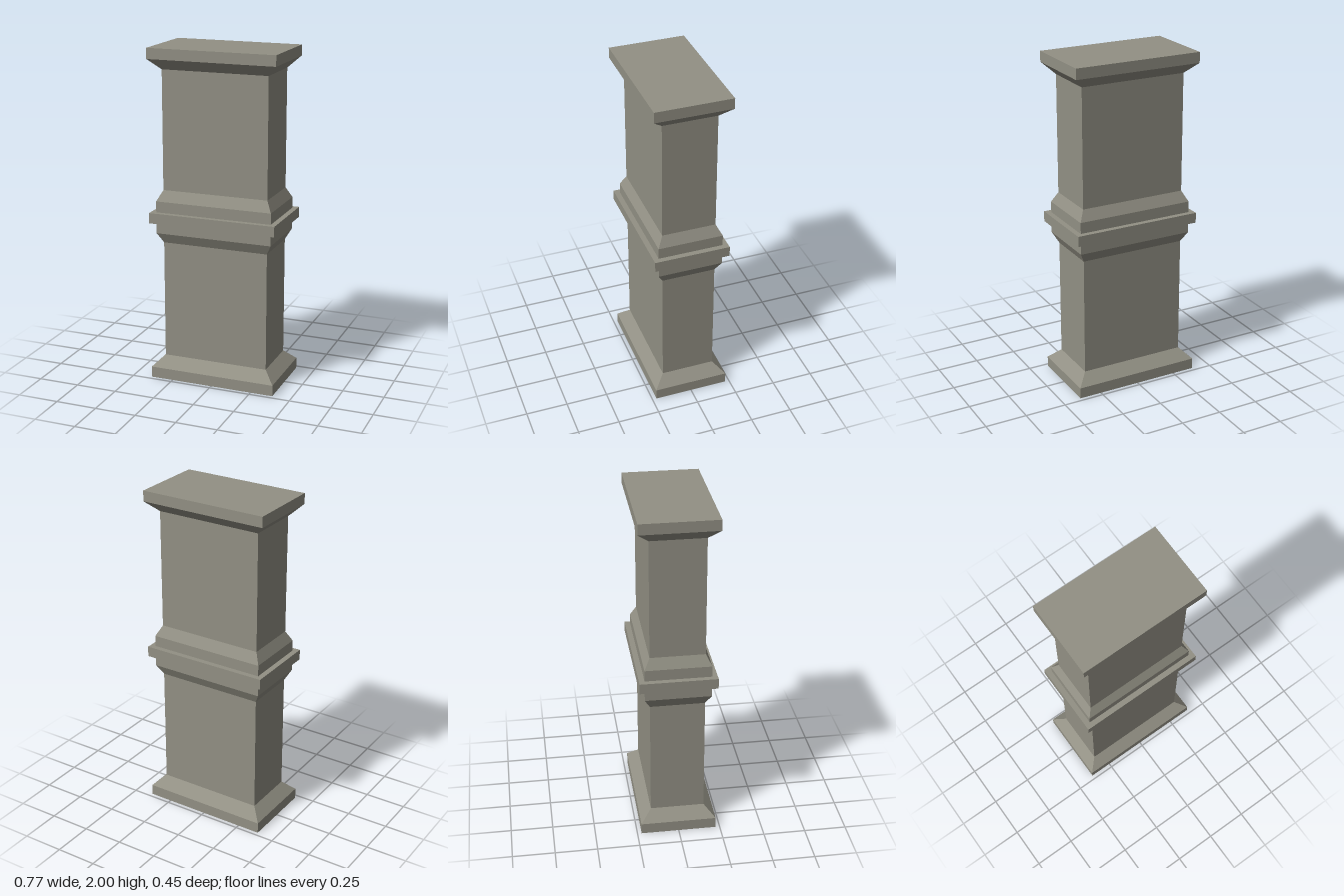
import * as THREE from 'three';

// Rectangular block whose top may be wider or narrower than its bottom.
// The outset is added on every side of the shaft's footprint.
const HALF_X = 0.322, HALF_Z = 0.16;

function block(name, y0, y1, outset0, outset1, material) {
  const geometry = new THREE.BoxGeometry(2, y1 - y0, 2).toNonIndexed();
  const p = geometry.attributes.position;
  for (let i = 0; i < p.count; i++) {
    const o = p.getY(i) < 0 ? outset0 : outset1;
    p.setX(i, Math.sign(p.getX(i)) * (HALF_X + o));
    p.setZ(i, Math.sign(p.getZ(i)) * (HALF_Z + o));
  }
  geometry.computeVertexNormals();
  const mesh = new THREE.Mesh(geometry, material);
  mesh.name = name;
  mesh.position.y = (y0 + y1) / 2;
  return mesh;
}

export function createModel() {
  const stone = new THREE.MeshStandardMaterial({ color: 0x929084 });
  stone.name = 'stone';

  const model = new THREE.Group();
  model.name = 'pillar';

  // name, bottom, top, outset at bottom, outset at top
  const parts = [
    // foot
    ['baseSlab', 0, 0.066, 0.065, 0.065],
    ['baseBevel', 0.066, 0.131, 0.065, 0],
    ['lowerShaft', 0.131, 0.844, 0, 0],
    // band around the middle
    ['lowerBandBevel', 0.844, 0.906, 0, 0.033],
    ['lowerBand', 0.906, 0.972, 0.033, 0.033],
    ['middleRing', 0.972, 1.034, 0.065, 0.065],
    ['upperBand', 1.034, 1.1, 0.033, 0.033],
    ['upperBandBevel', 1.1, 1.164, 0.033, 0],
    ['upperShaft', 1.164, 1.873, 0, 0],
    // head
    ['capBevel', 1.873, 1.937, 0, 0.065],
    ['capSlab', 1.937, 2, 0.065, 0.065],
  ];
  for (const part of parts) model.add(block(...part, stone));

  return model;
}
